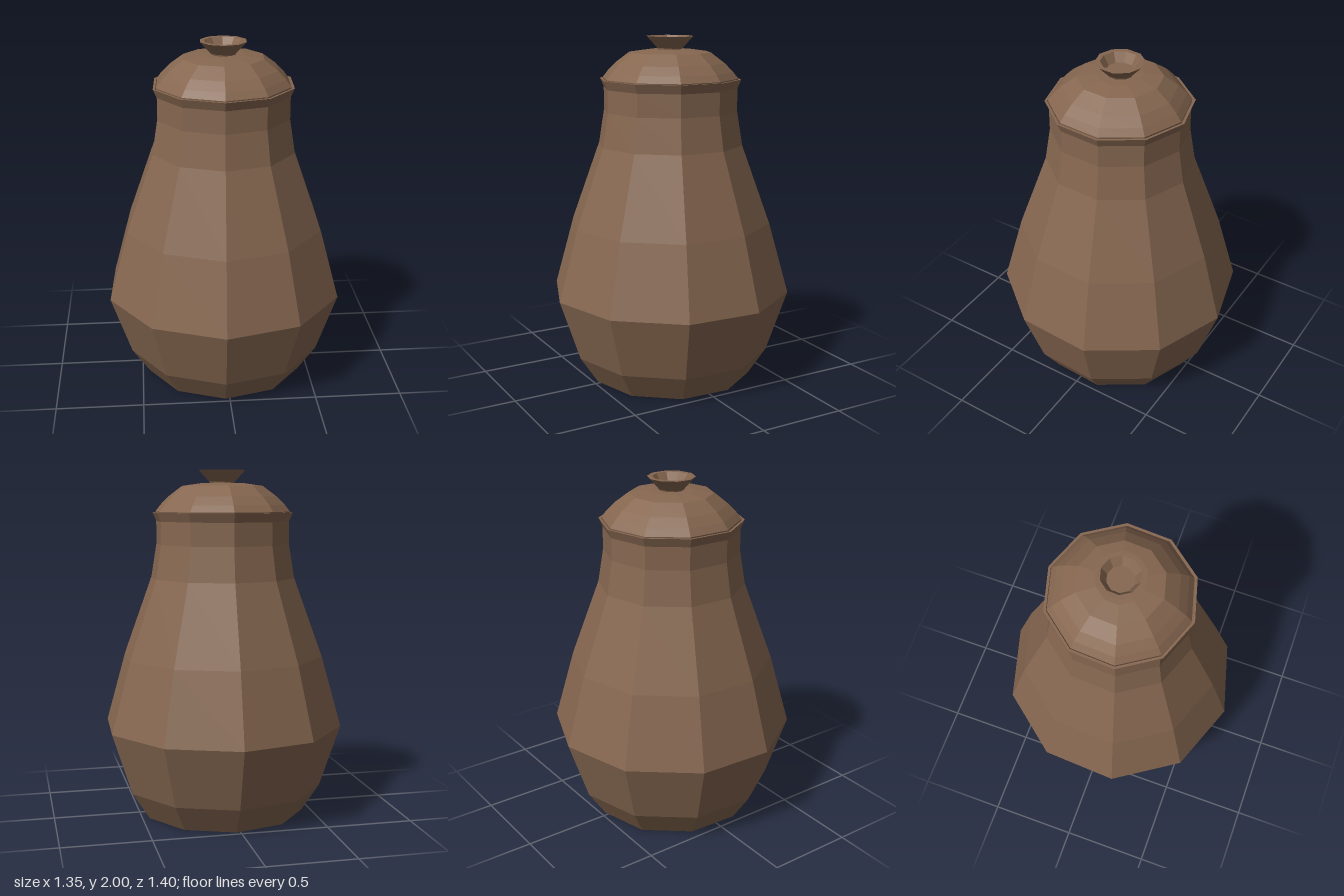
import * as THREE from 'three';

const SIDES = 10;
const TURN = -0.05; // slight twist of the ten-sided outline

export function createModel() {
  const group = new THREE.Group();
  const material = new THREE.MeshStandardMaterial({
    color: 0x866750, flatShading: true, side: THREE.DoubleSide,
  });

  // Ten-sided turned part from [radius, height] pairs
  function turned(name, profile) {
    const points = profile.map(([r, y]) => new THREE.Vector2(r, y));
    const mesh = new THREE.Mesh(new THREE.LatheGeometry(points, SIDES, TURN), material);
    mesh.name = name;
    group.add(mesh);
  }

  // Closed base, wide belly, narrow neck and flared rim
  turned('body', [
    [0, 0], [0.475, 0], [0.58, 0.16], [0.7, 0.52], [0.585, 0.93],
    [0.42, 1.385], [0.388, 1.58], [0.388, 1.71], [0.41, 1.76], [0.396, 1.76], [0.388, 1.745],
  ]);

  // Domed lid resting inside the rim
  turned('lid', [
    [0.388, 1.745], [0.392, 1.765], [0.362, 1.803], [0.315, 1.85],
    [0.235, 1.91], [0.13, 1.925], [0, 1.93],
  ]);

  // Hollow flared knob
  turned('knob', [
    [0.07, 1.92], [0.075, 1.935], [0.135, 2], [0.107, 2], [0.075, 1.95], [0, 1.95],
  ]);

  return group;
}
